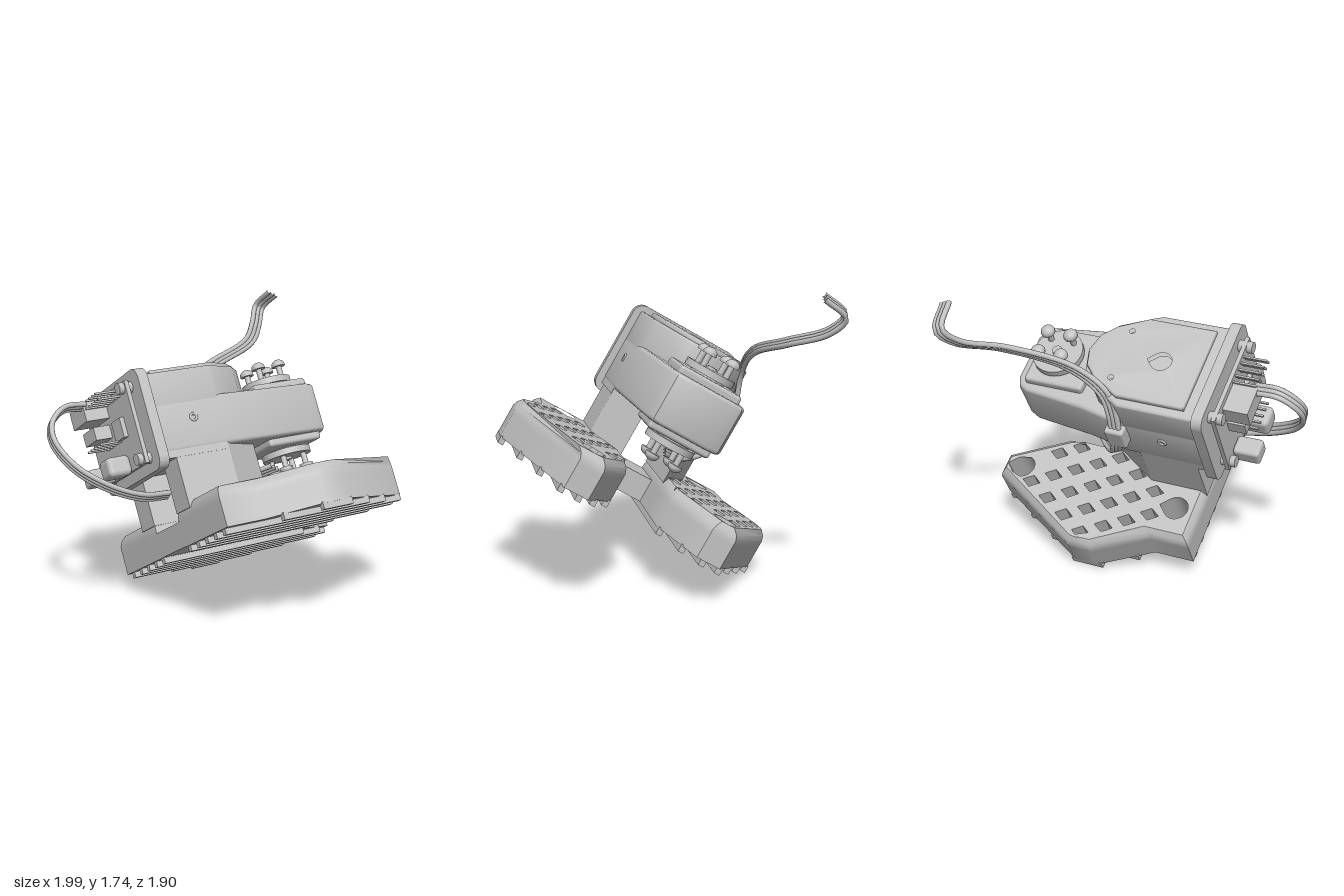
import * as THREE from 'three';
import { toCreasedNormals } from 'three/addons/utils/BufferGeometryUtils.js';
import { RoundedBoxGeometry } from 'three/addons/geometries/RoundedBoxGeometry.js';

const grey = new THREE.MeshStandardMaterial({ color: 0xc0c0c0 });
grey.name = 'light grey plastic';

function add(parent, name, geometry, x = 0, y = 0, z = 0) {
  const mesh = new THREE.Mesh(geometry, grey);
  mesh.name = name;
  mesh.position.set(x, y, z);
  parent.add(mesh);
  return mesh;
}

const smooth = (g) => toCreasedNormals(g, 0.6);
const toPath = (pts) => pts.map(([x, z]) => new THREE.Vector2(x, -z));
const mirrorZ = (z) => 0.803 - z;
const mirrored = (pts, flip) => (flip ? pts.map(([x, z]) => [x, mirrorZ(z)]) : pts);

// Upright slab from a plan outline of [x, z] points
function slab(outline, y0, y1, { holes = [], bevel = 0, steps = 1 } = {}) {
  const shape = new THREE.Shape(toPath(outline));
  holes.forEach((h) => shape.holes.push(new THREE.Path(toPath(h))));
  const g = new THREE.ExtrudeGeometry(shape, {
    depth: y1 - y0 - 2 * bevel, steps, bevelEnabled: bevel > 0,
    bevelThickness: bevel, bevelSize: bevel, bevelOffset: -bevel, bevelSegments: 3,
  });
  return g.rotateX(-Math.PI / 2).translate(0, y0 + bevel, 0);
}

// Teardrop hole with its point towards +x
function teardrop(x, z, r) {
  const pts = [];
  for (let i = 0; i <= 18; i++) {
    const a = Math.PI / 4 + (i / 18) * Math.PI * 1.5;
    pts.push([x + r * Math.cos(a), z + r * Math.sin(a)]);
  }
  pts.push([x + r * 1.4, z]);
  return pts;
}

function circle(x, z, r) {
  return Array.from({ length: 14 }, (_, i) => {
    const a = (i / 14) * Math.PI * 2;
    return [x + r * Math.cos(a), z + r * Math.sin(a)];
  });
}

const footOutline = [[-0.4, 0.556], [0.24, 0.556], [0.59, 0.556], [0.94, 0.75], [0.94, 0.9],
  [0.32, 1.25], [0.17, 1.25], [-0.15, 1.08], [-0.4, 1.08]];

function footHoles() {
  const holes = [teardrop(-0.26, 0.88, 0.075), teardrop(0.8, 0.83, 0.075)];
  const rows = [[-1, 1, 4], [0, 0, 4], [1, 0, 4], [2, 0, 4], [3, 1, 2]];
  for (const [i, j0, j1] of rows) {
    for (let j = j0; j <= j1; j++) {
      const x = -0.09 + 0.15 * i + 0.123 * j, z = 0.8 - 0.0865 * i + 0.073 * j;
      holes.push([[x - 0.06, z], [x, z + 0.042], [x + 0.06, z], [x, z - 0.042]]);
    }
  }
  return holes;
}

// Perforated foot with a rounded top rim and ribs underneath
function foot(parent, name, flip) {
  const group = new THREE.Group();
  group.name = name;
  parent.add(group);
  const outline = mirrored(footOutline, flip);
  const g = slab(outline, 0.3, 0.54, { holes: footHoles().map((h) => mirrored(h, flip)), steps: 8 });
  const p = g.attributes.position, cz = flip ? mirrorZ(0.9) : 0.9;
  for (let i = 0; i < p.count; i++) {
    const x = p.getX(i), y = p.getY(i), z = p.getZ(i);
    if (y < 0.5 || !outline.some(([a, b]) => Math.hypot(a - x, b - z) < 1e-3)) continue;
    const pull = y > 0.53 ? 0.035 : 0.01;
    p.setX(i, x - pull * Math.sign(x - 0.25) * (Math.abs(x - 0.25) > 0.2 ? 1 : 0.3));
    p.setZ(i, z - pull * Math.sign(z - cz));
  }
  add(group, 'footPlate', smooth(g));
  for (let i = 0; i < 7; i++) {
    const z = 0.582 + i * 0.108, xs = [];
    footOutline.forEach(([x0, z0], k) => {
      const [x1, z1] = footOutline[(k + 1) % footOutline.length];
      if ((z0 - z) * (z1 - z) < 0) xs.push(x0 + ((z - z0) / (z1 - z0)) * (x1 - x0));
    });
    const a = Math.min(...xs) + 0.01, b = Math.max(...xs) - 0.01;
    add(group, 'footRib', new THREE.BoxGeometry(b - a, 0.045, 0.035), (a + b) / 2, 0.287, flip ? mirrorZ(z) : z);
  }
}

// Round horn with four raised screws; dir is +1 above the arm, -1 below
function horn(parent, name, dir) {
  const group = new THREE.Group();
  group.name = name;
  group.position.set(0.545, 0.985, 0.41);
  parent.add(group);
  const disc = (n, r, y0, y1, x = 0, z = 0) =>
    add(group, n, new THREE.CylinderGeometry(r, r, y1 - y0, 28), x, (dir * (y0 + y1)) / 2, z);
  add(group, 'hornSeat', new RoundedBoxGeometry(0.38, 0.07, 0.4, 2, 0.02), -0.03, dir * 0.165, 0);
  disc('hornHub', 0.11, 0.18, 0.225);
  disc('hornDisc', 0.155, 0.21, 0.25);
  disc('centreScrew', 0.03, 0.25, 0.265);
  for (const sx of [-1, 1]) for (const sz of [-1, 1]) {
    disc('screwShaft', 0.018, 0.24, 0.33, sx * 0.075, sz * 0.075);
    const head = add(group, 'screwHead', new THREE.SphereGeometry(0.043, 16, 6, 0, Math.PI * 2, 0, Math.PI / 2),
      sx * 0.075, dir * 0.33, sz * 0.075);
    head.scale.y = 0.8;
    if (dir < 0) head.rotation.x = Math.PI;
    disc('screwHeadBase', 0.043, 0.32, 0.331, sx * 0.075, sz * 0.075);
  }
}

// Ribbon of three strands following one path
function cable(parent, name, pts, spread) {
  for (let s = -1; s <= 1; s++) {
    const curve = new THREE.CatmullRomCurve3(pts.map(([x, y, z]) =>
      new THREE.Vector3(x + s * spread[0], y + s * spread[1], z + s * spread[2])));
    add(parent, name, new THREE.TubeGeometry(curve, 60, 0.016, 8));
  }
}

function electronics(parent) {
  const group = new THREE.Group();
  group.name = 'controlBoard';
  parent.add(group);
  add(group, 'circuitBoard', new THREE.BoxGeometry(0.025, 0.5, 0.6), -0.575, 1.055, 0.405);
  for (const y of [0.84, 1.27]) for (const z of [0.15, 0.66]) {
    const screw = add(group, 'boardScrew', new THREE.CylinderGeometry(0.035, 0.035, 0.09, 16), -0.575, y, z);
    screw.rotation.z = Math.PI / 2;
  }
  add(group, 'upperConnector', new THREE.BoxGeometry(0.15, 0.11, 0.2), -0.665, 1.22, 0.31);
  add(group, 'middleConnector', new THREE.BoxGeometry(0.11, 0.08, 0.16), -0.64, 1.09, 0.3);
  add(group, 'lowerConnector', new RoundedBoxGeometry(0.16, 0.1, 0.12, 2, 0.02), -0.67, 0.85, 0.24);
  add(group, 'plugSocket', new RoundedBoxGeometry(0.15, 0.12, 0.14, 2, 0.03), -0.66, 0.85, 0.46);
  add(group, 'chip', new THREE.BoxGeometry(0.03, 0.12, 0.12), -0.6, 1.06, 0.52);
  for (let i = 0; i < 5; i++) for (const [y, z] of [[1.28, 0.4], [1.24, 0.42], [1.0, 0.3]]) {
    add(group, 'pin', new THREE.BoxGeometry(0.16, 0.012, 0.012), -0.65, y, z + i * 0.045);
  }
}

export function createModel() {
  const model = new THREE.Group();
  model.name = 'servoLegUnit';
  const tilted = new THREE.Group();
  tilted.name = 'tiltedUnit';
  tilted.rotation.x = -Math.PI / 6;
  model.add(tilted);

  // Bracket: two feet, two legs and the bridge between them
  const legOutline = [[-0.4, 0.556], [0.24, 0.556], [-0.04, 0.73], [-0.4, 0.73]];
  for (const flip of [false, true]) {
    foot(tilted, flip ? 'rearFoot' : 'frontFoot', flip);
    add(tilted, flip ? 'rearLeg' : 'frontLeg', slab(mirrored(legOutline, flip), 0.5, 0.85));
  }
  add(tilted, 'bridge', new THREE.BoxGeometry(0.38, 0.15, 0.33), -0.21, 0.377, 0.4015);

  // Servo housing
  const arm = [[-0.47, 0.07], [0.05, 0.07], [0.3, 0.12], [0.68, 0.16], [0.74, 0.19], [0.765, 0.25],
    [0.765, 0.55], [0.74, 0.61], [0.68, 0.645], [-0.04, 0.735], [-0.47, 0.735]];
  add(tilted, 'servoArm', smooth(slab(arm, 0.83, 1.14, { bevel: 0.025 })));
  add(tilted, 'servoBase', new THREE.BoxGeometry(0.43, 0.1, 0.66), -0.255, 0.85, 0.402);
  const block = [[-0.47, 0.07], [0, 0.07], [0.2, 0.18], [0.28, 0.27], [0.315, 0.4],
    [0.28, 0.53], [0.2, 0.62], [0.02, 0.71], [-0.04, 0.735], [-0.47, 0.735]];
  const cover = [[-0.4, 0.12], [0.02, 0.12], [0.19, 0.21], [0.27, 0.29], [0.3, 0.4],
    [0.27, 0.51], [0.19, 0.59], [0.02, 0.68], [-0.4, 0.68]];
  const bores = [teardrop(-0.16, 0.4, 0.075), circle(0.09, 0.23, 0.03), circle(0.09, 0.57, 0.03)];
  add(tilted, 'servoBlock', smooth(slab(block, 1.1, 1.32, { bevel: 0.015, holes: bores })));
  add(tilted, 'topCover', smooth(slab(cover, 1.31, 1.35, { bevel: 0.012, holes: bores })));
  for (const [z, n] of [[0.735, 'frontScrew'], [0.068, 'rearScrew']]) {
    const ring = add(tilted, n, new THREE.TorusGeometry(0.02, 0.008, 8, 16), -0.22, 1.02, z);
    ring.rotation.y = z < 0.4 ? Math.PI : 0;
  }

  // Side flange
  const r = 0.07, w = 0.75, h = 0.61, flange = new THREE.Shape();
  [[w - r, h - r, 0], [r, h - r, 1], [r, r, 2], [w - r, r, 3]].forEach(([x, y, q]) =>
    flange.absarc(x, y, r, (q * Math.PI) / 2, ((q + 1) * Math.PI) / 2));
  const flangeGeo = new THREE.ExtrudeGeometry(flange, { depth: 0.065, bevelEnabled: false, curveSegments: 8 });
  add(tilted, 'sideFlange', smooth(flangeGeo.rotateY(Math.PI / 2)), -0.535, 0.75, 0.78);

  horn(tilted, 'upperHorn', 1);
  horn(tilted, 'lowerHorn', -1);
  electronics(tilted);
  add(tilted, 'cableClip', new RoundedBoxGeometry(0.12, 0.15, 0.08, 2, 0.015), 0.05, 1.04, 0.045);

  // Cables
  cable(model, 'sideCable', [[-0.72, 1.29, -0.29], [-0.86, 1.29, -0.29], [-0.96, 1.22, -0.25], [-0.98, 1.13, -0.18],
    [-0.9, 0.99, -0.05], [-0.72, 0.87, 0.06], [-0.55, 0.81, 0.11], [-0.38, 0.79, 0.1]], [0, 0.018, 0.016]);
  cable(model, 'mainCable', [[0.45, 0.8, 0], [0.35, 0.74, -0.1], [0.2, 0.73, -0.28], [0.09, 0.79, -0.42],
    [0.05, 0.93, -0.5], [0.1, 1.2, -0.54], [0.3, 1.34, -0.56], [0.67, 1.44, -0.67], [0.86, 1.52, -0.86],
    [0.93, 1.61, -0.93], [0.955, 1.72, -0.8]], [0.025, -0.012, 0.004]);
  return model;
}
